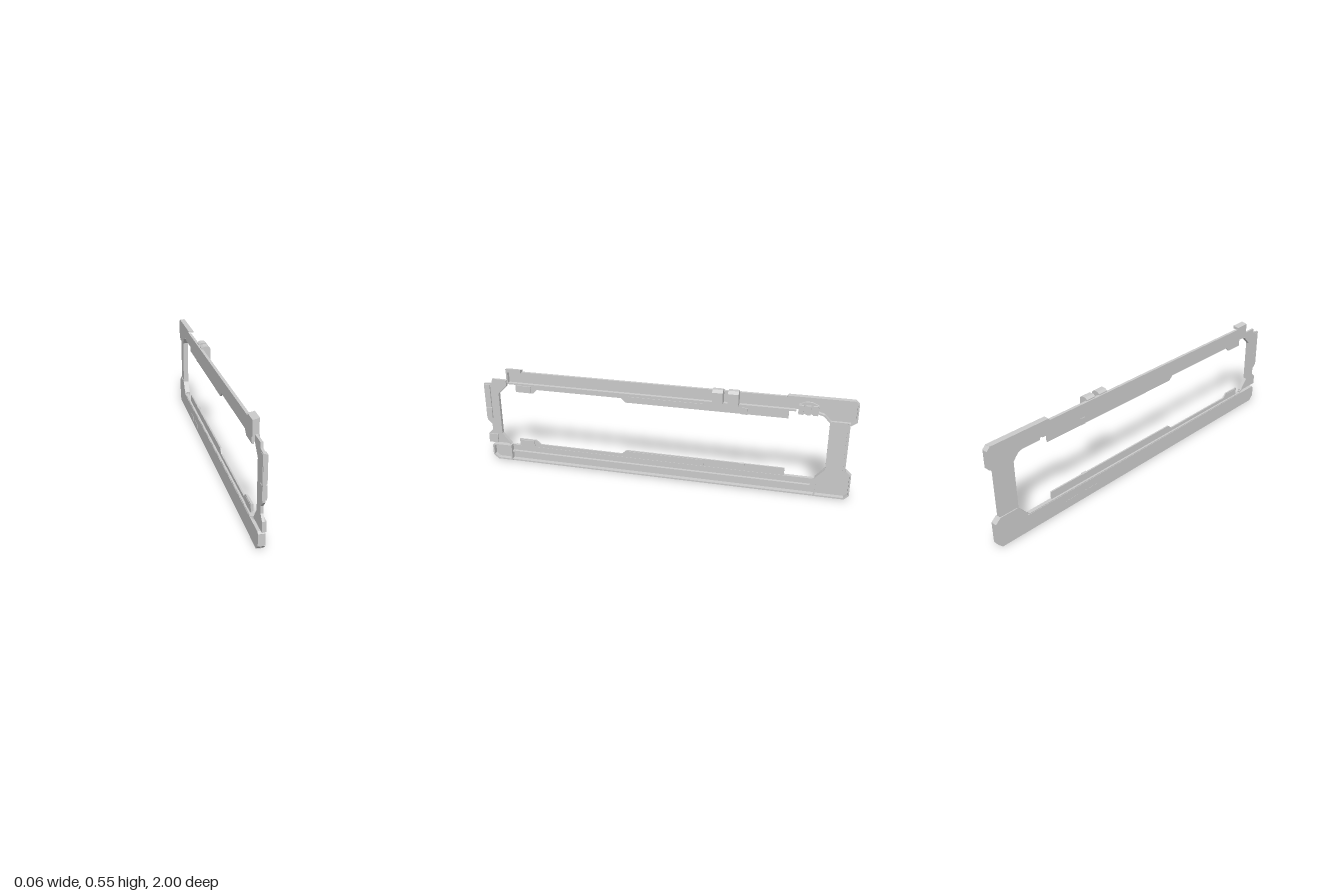
import * as THREE from 'three';

const material = new THREE.MeshStandardMaterial({ color: 0xcccccc, flatShading: true });

// Plate outlined by [z, y] points, spanning x0..x1
function plate(parent, name, pts, x0, x1) {
  const shape = new THREE.Shape(pts.map(([z, y]) => new THREE.Vector2(-z, y)));
  const geo = new THREE.ExtrudeGeometry(shape, { depth: x1 - x0, bevelEnabled: false });
  geo.rotateY(Math.PI / 2).translate(x0, 0, 0);
  const mesh = new THREE.Mesh(geo, material);
  mesh.name = name;
  parent.add(mesh);
  return mesh;
}

// Box given by its limits
function block(parent, name, x0, x1, y0, y1, z0, z1) {
  const mesh = new THREE.Mesh(new THREE.BoxGeometry(x1 - x0, y1 - y0, z1 - z0), material);
  mesh.position.set((x0 + x1) / 2, (y0 + y1) / 2, (z0 + z1) / 2);
  mesh.name = name;
  parent.add(mesh);
}

// Thin wall following a line of [z, y] points
function rim(parent, name, pts, x0, x1, t = 0.008) {
  for (let i = 0; i < pts.length - 1; i++) {
    const [za, ya] = pts[i], [zb, yb] = pts[i + 1];
    const len = Math.hypot(zb - za, yb - ya);
    const mesh = new THREE.Mesh(new THREE.BoxGeometry(x1 - x0, t, len + t * 0.6), material);
    mesh.position.set((x0 + x1) / 2, (ya + yb) / 2, (za + zb) / 2);
    mesh.rotation.x = Math.atan2(ya - yb, zb - za);
    mesh.name = name;
    parent.add(mesh);
  }
}

function subgroup(parent, name) {
  const g = new THREE.Group();
  g.name = name;
  parent.add(g);
  return g;
}

export function createModel() {
  const model = new THREE.Group();
  model.name = 'sideFrame';

  // Rear end: skin with post and corner pieces
  const rear = subgroup(model, 'rearEnd');
  plate(rear, 'rearTopSkin', [[-0.65, 0.53], [-0.66, 0.54], [-0.98, 0.54], [-1, 0.52], [-1, 0.43], [-0.97, 0.41],
    [-0.87, 0.41], [-0.84, 0.45], [-0.8, 0.465], [-0.65, 0.465]], -0.03, -0.022);
  plate(rear, 'rearBottomSkin', [[-0.82, 0], [-0.975, 0], [-1, 0.025], [-1, 0.135], [-0.97, 0.16],
    [-0.87, 0.16], [-0.82, 0.1]], -0.03, -0.022);
  rim(rear, 'rearTopRim', [[-0.66, 0.536], [-0.98, 0.536], [-0.996, 0.52], [-0.996, 0.432], [-0.97, 0.414]], -0.03, 0);
  rim(rear, 'rearBottomRim', [[-0.82, 0.004], [-0.975, 0.004], [-0.996, 0.025], [-0.996, 0.133], [-0.97, 0.156]], -0.03, 0.003);
  rim(rear, 'rearInnerRim', [[-0.8, 0.462], [-0.84, 0.45], [-0.873, 0.415], [-0.873, 0.155], [-0.824, 0.1], [-0.824, 0.004]], -0.029, 0);
  block(rear, 'rearPost', -0.025, -0.006, 0.15, 0.42, -0.96, -0.87);
  block(rear, 'rearPostEdge', -0.025, 0, 0.15, 0.42, -0.968, -0.956);

  // Front end: post with a notch in its outer edge
  const front = subgroup(model, 'frontEnd');
  plate(front, 'frontPost', [[0.86, 0.48], [0.945, 0.48], [0.95, 0.455], [0.995, 0.45], [0.995, 0.235], [0.97, 0.21],
    [0.97, 0.175], [0.995, 0.15], [0.995, 0.1], [0.86, 0.1], [0.91, 0.16], [0.91, 0.4], [0.86, 0.45]], -0.02, -0.008);
  rim(front, 'frontInnerRim', [[0.864, 0.1], [0.914, 0.16], [0.914, 0.4], [0.864, 0.45], [0.864, 0.476]], -0.02, 0);
  for (const [y0, y1] of [[0.245, 0.31], [0.315, 0.445]])
    block(front, 'frontPostPad', -0.022, 0, y0, y1, 0.96, 0.993);
  block(front, 'frontFoot', -0.02, 0, 0.1, 0.15, 0.94, 0.993);

  // Bottom rail: outer skin, floor flange and ribs
  const bottom = subgroup(model, 'bottomRail');
  block(bottom, 'bottomSkin', -0.03, -0.024, 0, 0.09, -0.83, 0.87);
  block(bottom, 'bottomFlange', -0.03, 0.002, 0, 0.008, -0.83, 0.95);
  block(bottom, 'bottomRib', -0.026, -0.008, 0.047, 0.055, -0.8, 0.86);
  block(bottom, 'bottomLedge', -0.028, -0.008, 0.086, 0.094, -0.81, 0.84);
  for (const z of [-0.55, -0.42]) block(bottom, 'bottomPad', -0.031, -0.028, 0.022, 0.045, z - 0.04, z + 0.04);

  // Front lower corner cup
  const corner = [[0.86, 0], [0.945, 0], [0.975, 0.025], [0.975, 0.08], [0.965, 0.09], [0.86, 0.09]];
  plate(bottom, 'cornerSkin', corner, -0.03, -0.022);
  rim(bottom, 'cornerRim', [[0.86, 0.004], [0.945, 0.004], [0.971, 0.027], [0.971, 0.08], [0.963, 0.086], [0.864, 0.086], [0.864, 0.004]], -0.03, 0.003);

  // Top rail: outer skin, inner ledge and front hook
  const top = subgroup(model, 'topRail');
  block(top, 'topSkin', -0.03, -0.022, 0.465, 0.53, -0.66, 0.78);
  block(top, 'topEdge', -0.03, -0.015, 0.522, 0.53, -0.65, 0.78);
  block(top, 'topLedge', -0.03, -0.002, 0.46, 0.468, -0.7, 0.85);
  block(top, 'hookSkin', -0.03, -0.022, 0.462, 0.54, 0.77, 0.855);
  const hook = new THREE.Shape([[-0.03, 0.53], [0.002, 0.53], [0.002, 0.548], [-0.03, 0.541]].map(p => new THREE.Vector2(...p)));
  const hookMesh = new THREE.Mesh(new THREE.ExtrudeGeometry(hook, { depth: 0.085, bevelEnabled: false }).translate(0, 0, 0.77), material);
  hookMesh.name = 'frontHook';
  top.add(hookMesh);
  block(top, 'hookFront', -0.03, 0, 0.468, 0.54, 0.847, 0.855);

  // Stepped inner panels, mirrored about the opening
  const step = [[0.81, 0.088], [0.81, 0.135], [0.71, 0.135], [0.685, 0.112], [0.21, 0.112], [0.185, 0.135], [-0.665, 0.135], [-0.665, 0.088]];
  for (const [name, f] of [['lowerPanel', y => y], ['upperPanel', y => 0.55 - y]]) {
    const panel = subgroup(model, name);
    plate(panel, name + 'Plate', step.map(([z, y]) => [z, f(y)]), -0.018, -0.01);
    const span = (n, x0, x1, a, b, z0, z1) => block(panel, n, x0, x1, Math.min(f(a), f(b)), Math.max(f(a), f(b)), z0, z1);
    span('panelPad', -0.02, -0.004, 0.095, 0.13, 0.72, 0.8);
    span('panelRaisedStrip', -0.012, -0.007, 0.1, 0.13, -0.24, 0.17);
    span('panelTab', -0.02, -0.004, 0.1, 0.135, -0.46, -0.43);
  }

  // Pair of clips over the top rail
  const clip = [[-0.022, 0.468], [0.028, 0.468], [0.028, 0.53], [0.015, 0.544], [-0.01, 0.544], [-0.022, 0.535]];
  for (const z of [-0.308, -0.388]) {
    const geo = new THREE.ExtrudeGeometry(new THREE.Shape(clip.map(p => new THREE.Vector2(...p))), { depth: 0.054, bevelEnabled: false });
    const mesh = new THREE.Mesh(geo.translate(0, 0, z - 0.027), material);
    mesh.name = 'topClip';
    model.add(mesh);
  }

  // Small rear latch
  const latch = subgroup(model, 'rearLatch');
  plate(latch, 'latchPlate', [[-0.71, 0.447], [-0.71, 0.495], [-0.745, 0.51], [-0.775, 0.51], [-0.81, 0.495], [-0.81, 0.447]], -0.022, -0.01);
  for (const z of [-0.725, -0.76, -0.795]) block(latch, 'latchFinger', -0.012, 0.003, 0.447, 0.495, z - 0.012, z + 0.012);
  return model;
}
